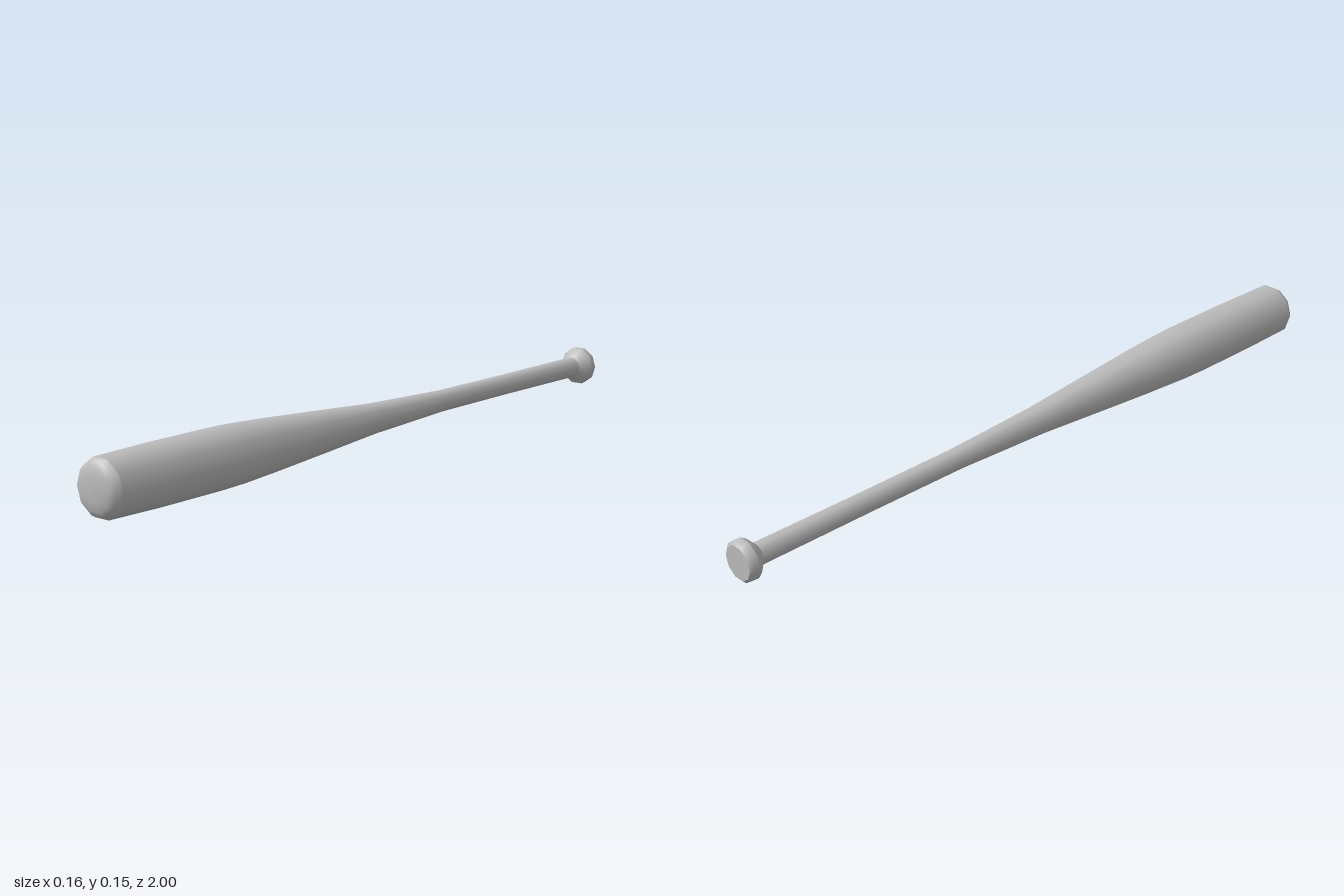
import * as THREE from 'three';

const SIDES = 10;
const AXIS_HEIGHT = 0.077;

export function createModel() {
  const bat = new THREE.Group();
  bat.name = 'bat';
  const grey = new THREE.MeshStandardMaterial({ color: 0xbbbbbb });
  grey.name = 'grey';

  // Ten-sided turned section; profile is [radius, z] from knob to tip
  function turned(name, profile) {
    const points = profile.map(([r, z]) => new THREE.Vector2(r, z));
    const geometry = new THREE.LatheGeometry(points, SIDES, Math.PI / 2);
    geometry.rotateX(Math.PI / 2);
    const mesh = new THREE.Mesh(geometry, grey);
    mesh.name = name;
    mesh.position.y = AXIS_HEIGHT;
    bat.add(mesh);
  }

  // Flat end of the knob, its rounded rim, and the flare into the handle
  turned('knobEnd', [[0, -1], [0.047, -1]]);
  turned('knobRim', [[0.047, -1], [0.055, -0.992], [0.056, -0.975]]);
  turned('knobFlare', [[0.056, -0.975], [0.047, -0.96], [0.03, -0.945]]);

  // Straight grip swelling smoothly into the barrel
  turned('handleAndBarrel', [
    [0.03, -0.945], [0.029, -0.6], [0.03, -0.3], [0.0415, 0],
    [0.056, 0.2], [0.07, 0.4], [0.077, 0.52], [0.079, 0.6],
    [0.079, 0.8], [0.076, 0.972],
  ]);

  // Rounded tip
  turned('tip', [
    [0.076, 0.972], [0.067, 0.986], [0.054, 0.995], [0.03, 0.999], [0, 1],
  ]);

  return bat;
}
